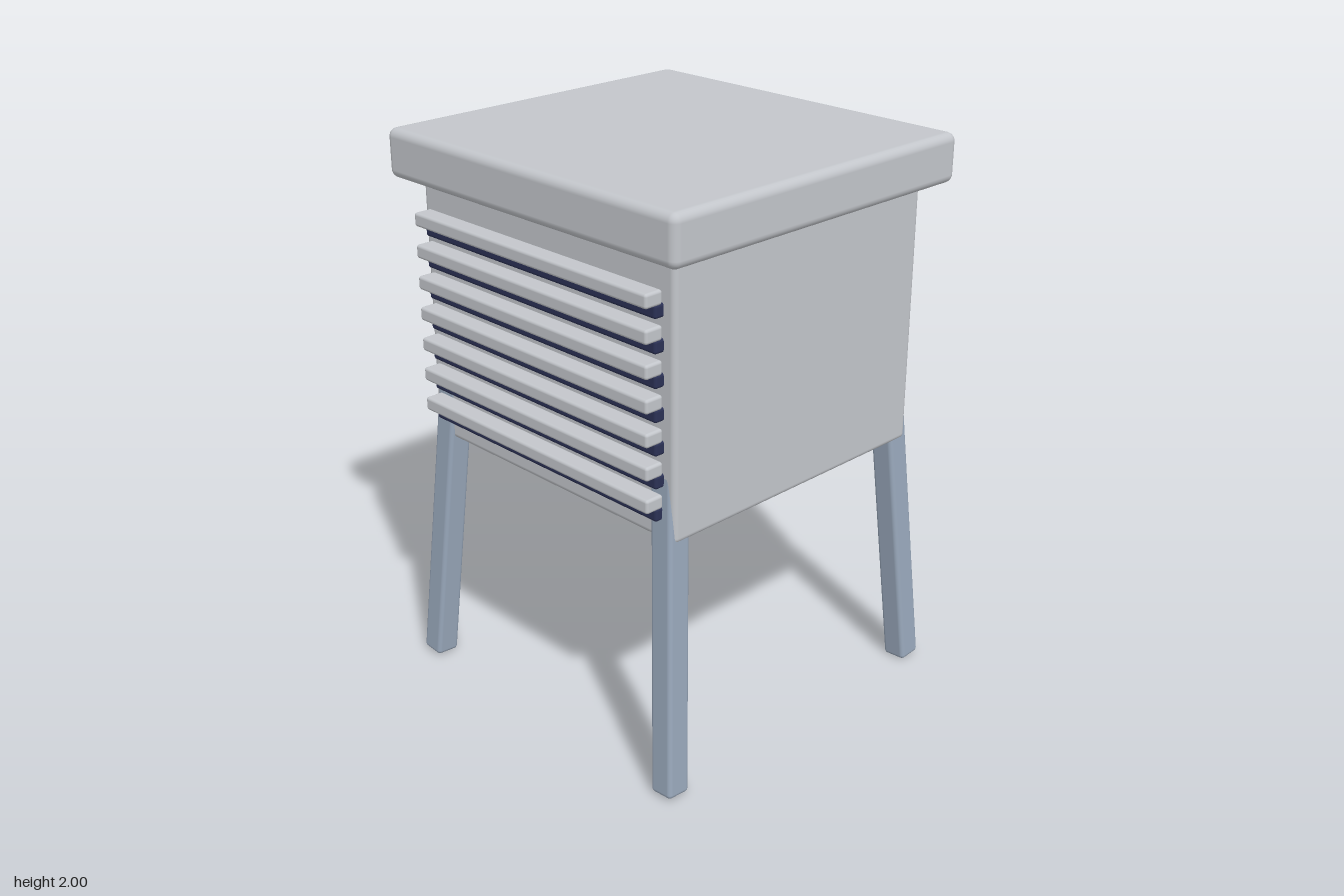
import * as THREE from 'three';
import { RoundedBoxGeometry } from 'three/addons/geometries/RoundedBoxGeometry.js';

export function createModel() {
  const group = new THREE.Group();
  const mat = (name, color) => {
    const m = new THREE.MeshStandardMaterial({ color });
    m.name = name;
    return m;
  };
  const paleGrey = mat('pale grey', 0xc3c6cb);
  const blueGrey = mat('blue grey', 0x98a7ba);
  const navy = mat('dark navy', 0x2b3155);

  const box = (name, material, size, pos, radius) => {
    const mesh = new THREE.Mesh(new RoundedBoxGeometry(...size, 3, radius), material);
    mesh.name = name;
    mesh.position.set(...pos);
    group.add(mesh);
    return mesh;
  };

  // Cabinet and overhanging lid
  box('cabinet', paleGrey, [1.2, 0.95, 1.14], [0, 1.375, 0], 0.02);
  box('lid', paleGrey, [1.36, 0.17, 1.3], [0, 1.915, 0], 0.03);

  // Front louvres: each slat has a dark gap below it
  for (let i = 0; i < 7; i++) {
    const y = 1.71 - i * 0.1112;
    box('slat', paleGrey, [1.115, 0.048, 0.07], [0, y, 0.611], 0.01);
    box('slatGap', navy, [1.108, 0.046, 0.05], [0, y - 0.043, 0.58], 0.01);
  }

  // Four legs splayed outwards, their tops set into the cabinet
  const splay = 0.074;
  for (const sx of [-1, 1]) {
    for (const sz of [-1, 1]) {
      const leg = box('leg', blueGrey, [0.09, 1.2, 0.09], [sx * 0.573, 0.603, sz * 0.563], 0.015);
      leg.rotation.set(-sz * splay, 0, sx * splay);
    }
  }
  return group;
}
